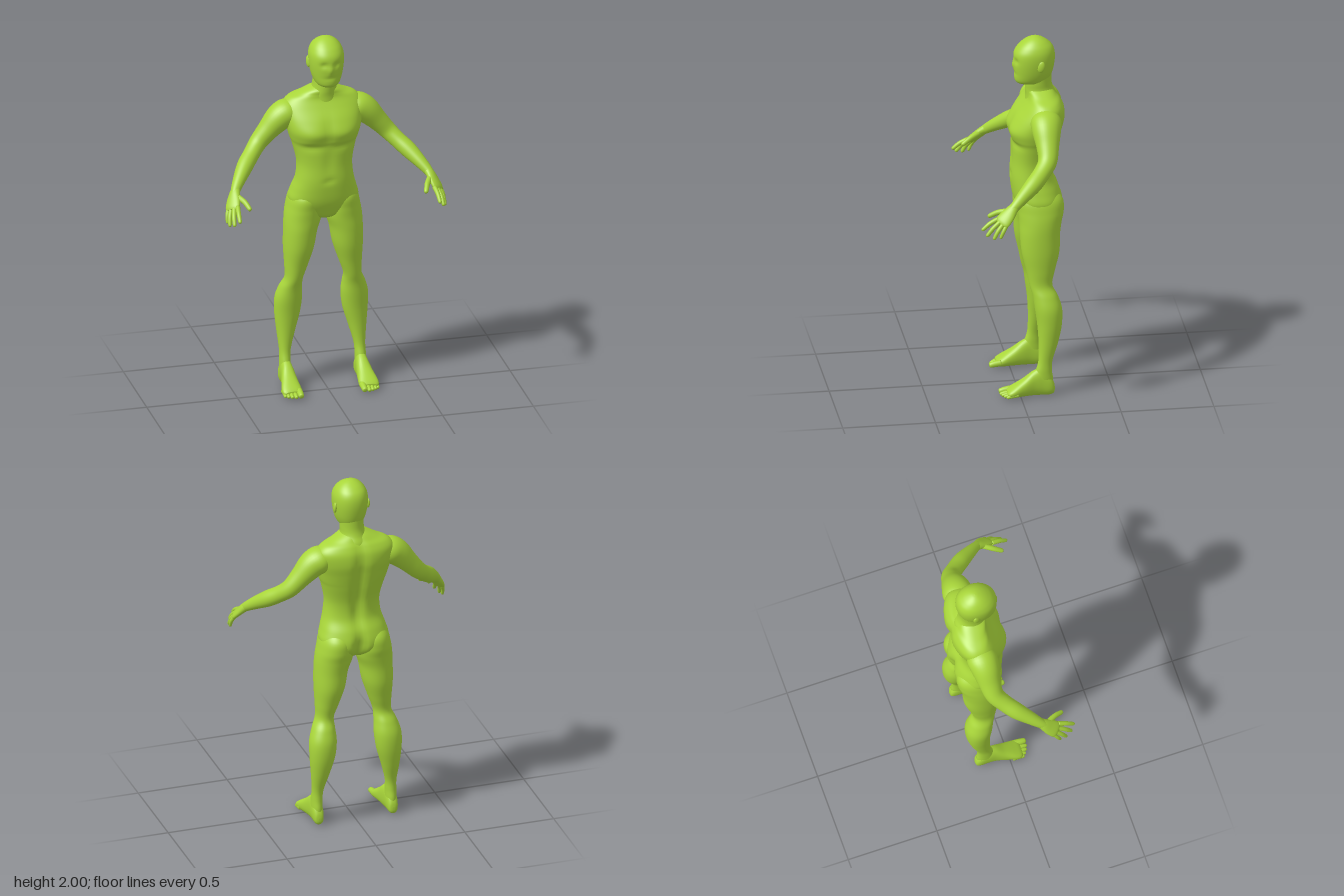
import * as THREE from 'three';

const skin = new THREE.MeshStandardMaterial({ color: 0xa9d63a });
skin.name = 'lime skin';

const bump = (d, w) => Math.exp(-(d * d) / (w * w));
const V = (x, y, z) => new THREE.Vector3(x, y, z);

// Smooth interpolation between rows of numbers
function refine(rows, steps) {
  const out = [];
  const at = i => rows[Math.min(rows.length - 1, Math.max(0, i))];
  for (let i = 0; i < rows.length - 1; i++) {
    for (let s = 0; s < steps; s++) {
      const t = s / steps;
      out.push(rows[i].map((b, k) => {
        const a = at(i - 1)[k], c = at(i + 1)[k], d = at(i + 2)[k];
        return b + 0.5 * t * (c - a + t * (2 * a - 5 * b + 4 * c - d + t * (3 * (b - c) + d - a)));
      }));
    }
  }
  out.push(rows[rows.length - 1]);
  return out;
}

// Closed skin over a list of rings, always facing outward
function loft(name, rings) {
  const n = rings[0].length, pts = rings.flat(), idx = [];
  const centre = r => r.reduce((s, p) => s.add(p), V(0, 0, 0)).divideScalar(n);
  for (let i = 0; i < rings.length - 1; i++) {
    for (let j = 0; j < n; j++) {
      const a = i * n + j, b = i * n + (j + 1) % n;
      idx.push(a, a + n, b, b, a + n, b + n);
    }
  }
  const last = rings.length - 1, c0 = pts.length, c1 = c0 + 1;
  pts.push(centre(rings[0]), centre(rings[last]));
  for (let j = 0; j < n; j++) {
    const k = (j + 1) % n;
    idx.push(c0, j, k, c1, last * n + k, last * n + j);
  }
  let volume = 0;
  for (let i = 0; i < idx.length; i += 3) {
    volume += pts[idx[i]].dot(V(0, 0, 0).crossVectors(pts[idx[i + 1]], pts[idx[i + 2]]));
  }
  if (volume < 0) idx.reverse();
  const geo = new THREE.BufferGeometry().setFromPoints(pts);
  geo.setIndex(idx);
  geo.computeVertexNormals();
  const mesh = new THREE.Mesh(geo, skin);
  mesh.name = name;
  return mesh;
}

// Straight loft: rows are [t, uMin, uMax, vMin, vMax]
function body(name, rows, { place = (t, u, v) => V(u, t, v), power = 2, shape, n = 48 } = {}) {
  const round = c => Math.sign(c) * Math.abs(c) ** (2 / power);
  return loft(name, refine(rows, 6).map(([t, u0, u1, v0, v1]) =>
    Array.from({ length: n }, (_, j) => {
      const q = (j / n) * Math.PI * 2;
      const p = place(t, (u0 + u1) / 2 + round(Math.cos(q)) * (u1 - u0) / 2,
        (v0 + v1) / 2 + round(Math.sin(q)) * (v1 - v0) / 2);
      if (shape) shape(p, Math.sin(q));
      return p;
    })));
}

// Limb along a path: rows are [x, y, z, radius along side, radius across]
function limb(name, rows, side = V(0, 0, 1), n = 24) {
  const r = refine(rows, 5);
  const pos = r.map(a => V(a[0], a[1], a[2]));
  return loft(name, r.map((a, i) => {
    const t = pos[Math.min(i + 1, r.length - 1)].clone().sub(pos[Math.max(i - 1, 0)]).normalize();
    const s = side.clone().addScaledVector(t, -side.dot(t)).normalize();
    const w = V(0, 0, 0).crossVectors(t, s);
    return Array.from({ length: n }, (_, j) => {
      const q = (j / n) * Math.PI * 2;
      return pos[i].clone().addScaledVector(s, Math.cos(q) * a[3]).addScaledVector(w, Math.sin(q) * a[4]);
    });
  }));
}

// Finger or toe with a rounded end
function digit(name, base, mid, tip, r) {
  const row = (p, k) => [p.x, p.y, p.z, r * k, r * k];
  const near = mid.clone().lerp(tip, 0.75), end = mid.clone().lerp(tip, 0.95);
  return limb(name, [row(base, 1.1), row(mid, 1), row(near, 0.85), row(end, 0.55), row(tip, 0.05)], V(1, 0.3, 0.2), 12);
}

function makeTorso() {
  const rows = [
    [0.965, 0.02, -0.15, -0.07], [0.985, 0.08, -0.2, -0.03], [1.03, 0.165, -0.242, -0.008], [1.08, 0.19, -0.25, 0.01],
    [1.14, 0.176, -0.234, 0.02], [1.21, 0.156, -0.203, 0.025], [1.3, 0.15, -0.203, 0.02], [1.4, 0.172, -0.228, 0.021],
    [1.44, 0.186, -0.238, 0.028], [1.49, 0.2, -0.25, 0.035], [1.55, 0.212, -0.262, 0.008], [1.61, 0.215, -0.258, -0.035],
    [1.65, 0.185, -0.24, -0.06], [1.675, 0.13, -0.22, -0.065], [1.7, 0.08, -0.2, -0.065], [1.72, 0.04, -0.17, -0.09],
  ].map(([y, w, b, f]) => [y, -w, w, b, f]);
  return body('torso', rows, {
    power: 2.35, n: 72,
    shape(p, s) {
      const mid = bump(p.x, 0.03);
      if (s < 0) { // spine furrow and seat cleft
        p.z += -s * mid * (0.022 * bump(p.y - 1.47, 0.2) + 0.012 * bump(p.y - 1.25, 0.12) + 0.04 * bump(p.y - 1.04, 0.07));
      } else { // breastbone, chest underside and belly
        p.z -= s * mid * (0.008 * bump(p.y - 1.5, 0.07) + 0.005 * bump(p.y - 1.32, 0.08) + 0.006 * bump(p.y - 1.21, 0.015));
        p.z += s * 0.008 * bump(Math.abs(p.x) - 0.1, 0.06) * bump(p.y - 1.47, 0.05);
        p.z -= s * 0.01 * bump(Math.abs(p.x) - 0.1, 0.07) * bump(p.y - 1.405, 0.02);
      }
    },
  });
}

function makeHead() {
  const g = new THREE.Group();
  g.name = 'headGroup';
  const X = 0.013;
  const rows = [
    [1.73, 0.015, -0.12, -0.05], [1.737, 0.045, -0.16, -0.018], [1.755, 0.066, -0.18, 0.002], [1.8, 0.083, -0.2, 0.006],
    [1.86, 0.093, -0.212, 0.01], [1.91, 0.093, -0.212, 0.006], [1.945, 0.082, -0.2, -0.014], [1.97, 0.064, -0.176, -0.04],
    [1.987, 0.043, -0.15, -0.066], [1.997, 0.02, -0.127, -0.09], [2, 0.002, -0.11, -0.106],
  ].map(([y, w, b, f]) => [y, X - w, X + w, b, f]);
  g.add(body('head', rows, {
    power: 2.15, n: 64,
    shape(p, s) {
      if (s <= 0) return;
      const x = p.x - X; // eye sockets, nose and mouth crease
      p.z -= s * 0.01 * bump(Math.abs(x) - 0.036, 0.02) * bump(p.y - 1.872, 0.016);
      p.z += s * 0.008 * bump(x, 0.014) * bump(p.y - 1.843, 0.022);
      p.z -= s * 0.004 * bump(x, 0.035) * bump(p.y - 1.797, 0.008);
    },
  }));
  for (const s of [-1, 1]) {
    const ear = new THREE.Mesh(new THREE.SphereGeometry(1, 20, 14), skin);
    ear.name = 'ear';
    ear.scale.set(0.01, 0.032, 0.02);
    ear.position.set(X + s * 0.091, 1.855, -0.128);
    ear.rotation.set(-0.2, s * -0.2, 0);
    g.add(ear);
  }
  g.add(body('neck', [
    [1.6, -0.09, 0.1, -0.235, -0.05], [1.66, -0.082, 0.092, -0.226, -0.056], [1.7, -0.061, 0.075, -0.206, -0.054],
    [1.74, -0.054, 0.075, -0.196, -0.054], [1.8, -0.054, 0.078, -0.196, -0.06],
  ]));
  return g;
}

function makeLeg(m) {
  const g = new THREE.Group();
  g.name = m > 0 ? 'leftLeg' : 'rightLeg';
  const mirror = (t, u, v) => V(m * u, t, v);
  g.add(body('leg', [
    [1.17, 0.08, 0.13, -0.16, -0.06], [1.1, 0.02, 0.182, -0.238, -0.004], [1.03, 0.009, 0.201, -0.248, -0.004],
    [0.97, 0.012, 0.211, -0.236, -0.008], [0.9, 0.035, 0.215, -0.225, -0.01], [0.8, 0.053, 0.216, -0.22, -0.018],
    [0.7, 0.085, 0.211, -0.195, -0.04], [0.62, 0.112, 0.21, -0.178, -0.056], [0.56, 0.112, 0.235, -0.205, -0.072],
    [0.49, 0.108, 0.255, -0.227, -0.082], [0.4, 0.119, 0.255, -0.226, -0.094], [0.3, 0.147, 0.246, -0.205, -0.1],
    [0.2, 0.174, 0.236, -0.174, -0.098], [0.14, 0.178, 0.237, -0.17, -0.083], [0.09, 0.178, 0.238, -0.176, -0.07],
    [0.04, 0.18, 0.235, -0.175, -0.08],
  ], { place: mirror, power: 2.1 }));
  g.add(body('foot', [
    [-0.185, 0.2, 0.215, 0.025, 0.045], [-0.178, 0.186, 0.23, 0.008, 0.075], [-0.155, 0.179, 0.238, 0, 0.115],
    [-0.11, 0.175, 0.24, 0, 0.15], [-0.07, 0.17, 0.243, 0, 0.138], [-0.02, 0.164, 0.254, 0, 0.1],
    [0.03, 0.158, 0.265, 0, 0.067], [0.06, 0.158, 0.263, 0.004, 0.047], [0.073, 0.17, 0.25, 0.012, 0.035],
  ], { place: (t, u, v) => V(m * u, v, t), power: 2.3, n: 32 }));
  [[0.175, 0.112, 0.017], [0.201, 0.11, 0.0115], [0.221, 0.103, 0.011], [0.239, 0.093, 0.0105], [0.254, 0.08, 0.01]]
    .forEach(([x, z, r]) => g.add(digit('toe', V(m * x, r + 0.012, z - 0.065), V(m * x, r + 0.007, z - 0.03), V(m * x, r, z), r)));
  return g;
}

function makeArm(m) {
  const g = new THREE.Group();
  g.name = m > 0 ? 'leftArm' : 'rightArm';
  const flip = rows => rows.map(([x, ...r]) => [m * x, ...r]);
  g.add(limb('arm', flip([
    [0.11, 1.58, -0.145, 0.04, 0.035], [0.18, 1.572, -0.142, 0.08, 0.07], [0.235, 1.543, -0.137, 0.078, 0.073],
    [0.3, 1.476, -0.134, 0.061, 0.057], [0.355, 1.415, -0.125, 0.051, 0.048], [0.4, 1.37, -0.088, 0.046, 0.044],
    [0.45, 1.325, -0.035, 0.045, 0.044], [0.495, 1.28, 0.025, 0.036, 0.035], [0.53, 1.24, 0.075, 0.027, 0.026],
    [0.545, 1.215, 0.105, 0.022, 0.02],
  ]), V(0, 0, 1), 36));
  g.add(limb('palm', flip([
    [0.525, 1.247, 0.068, 0.024, 0.022], [0.538, 1.228, 0.09, 0.031, 0.023], [0.552, 1.2, 0.118, 0.041, 0.02],
    [0.564, 1.172, 0.146, 0.044, 0.017], [0.569, 1.16, 0.158, 0.036, 0.011],
  ]), V(-0.6 * m, 0.25, 0.65)));
  // index to little finger: knuckle, middle joint, tip
  [[V(0.542, 1.18, 0.168), V(0.548, 1.158, 0.214), V(0.551, 1.122, 0.258)],
    [V(0.557, 1.173, 0.155), V(0.57, 1.14, 0.198), V(0.576, 1.096, 0.236)],
    [V(0.571, 1.167, 0.14), V(0.586, 1.13, 0.173), V(0.593, 1.083, 0.2)],
    [V(0.582, 1.162, 0.126), V(0.595, 1.127, 0.147), V(0.597, 1.088, 0.164)],
    [V(0.53, 1.217, 0.115), V(0.503, 1.202, 0.163), V(0.482, 1.172, 0.215)]]
    .forEach((pts, i) => {
      pts.forEach(p => { p.x *= m; });
      g.add(digit(i < 4 ? 'finger' : 'thumb', ...pts, [0.012, 0.012, 0.0115, 0.01, 0.0145][i]));
    });
  return g;
}

export function createModel() {
  const model = new THREE.Group();
  model.name = 'standingFigure';
  model.add(makeTorso(), makeHead());
  for (const m of [1, -1]) model.add(makeLeg(m), makeArm(m));
  return model;
}
